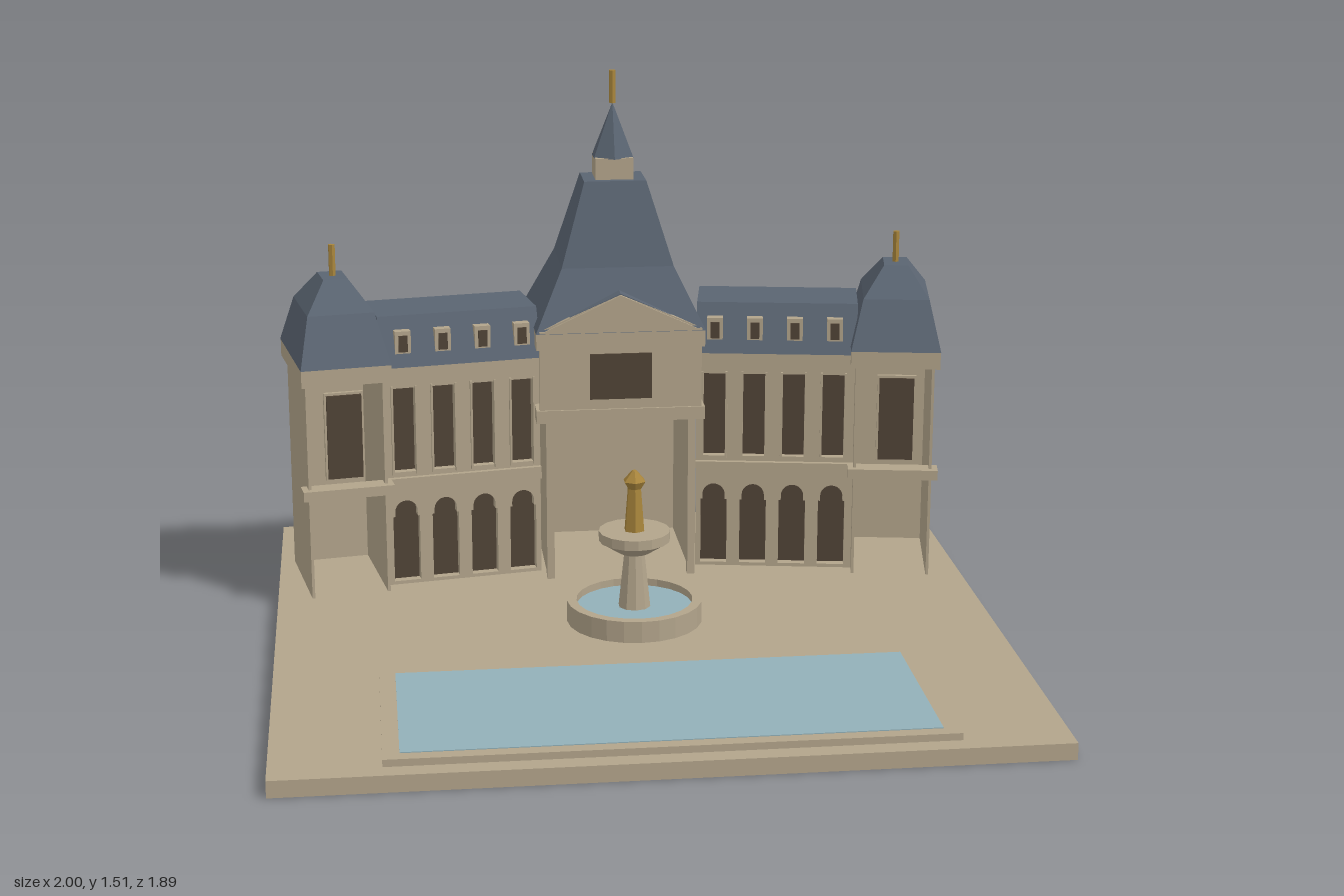
import * as THREE from 'three';

const mat = (name, color) => Object.assign(new THREE.MeshStandardMaterial({ color }), { name });

export function createModel() {
  const stone = mat('stone', 0xb2a48b);
  const slate = mat('slate', 0x5a6471);
  const glass = mat('darkGlass', 0x504336);
  const gold = mat('gold', 0xa8853c);
  const water = mat('water', 0x92b0b8);

  const model = new THREE.Group();
  model.name = 'palace';

  // Adds a mesh with faceted normals
  function add(parent, name, geometry, material, x = 0, y = 0, z = 0) {
    const g = geometry.index ? geometry.toNonIndexed() : geometry;
    g.computeVertexNormals();
    const mesh = new THREE.Mesh(g, material);
    mesh.name = name;
    mesh.position.set(x, y, z);
    parent.add(mesh);
    return mesh;
  }
  // Box given by its width, bottom, top, depth and centre
  const box = (parent, name, material, w, y0, y1, d, x = 0, z = 0) =>
    add(parent, name, new THREE.BoxGeometry(w, y1 - y0, d), material, x, (y0 + y1) / 2, z);
  const drum = (parent, name, material, rTop, rBottom, y0, y1, sides, x = 0, z = 0) =>
    add(parent, name, new THREE.CylinderGeometry(rTop, rBottom, y1 - y0, sides), material, x, (y0 + y1) / 2, z);

  // Roof lofted through rectangular rings [y, width, depth]
  function roofGeometry(rings) {
    const pos = [], idx = [];
    for (const [y, w, d] of rings)
      for (const [sx, sz] of [[-1, 1], [1, 1], [1, -1], [-1, -1]]) pos.push(sx * w / 2, y, sz * d / 2);
    for (let r = 0; r < rings.length - 1; r++)
      for (let i = 0; i < 4; i++) {
        const a = r * 4 + i, b = r * 4 + (i + 1) % 4;
        idx.push(a, b, b + 4, a, b + 4, a + 4);
      }
    const t = (rings.length - 1) * 4;
    idx.push(t, t + 1, t + 2, t, t + 2, t + 3, 0, 2, 1, 0, 3, 2);
    const g = new THREE.BufferGeometry();
    g.setAttribute('position', new THREE.Float32BufferAttribute(pos, 3));
    g.setIndex(idx);
    return g;
  }

  // Hollow block with an open front
  function shell(parent, name, w, y0, y1, zFront, zBack) {
    const t = 0.008, d = zFront - zBack, zc = (zFront + zBack) / 2;
    for (const s of [-1, 1]) box(parent, name + 'Side', stone, t, y0, y1, d, s * (w - t) / 2, zc);
    box(parent, name + 'Back', stone, w - 2 * t, y0, y1, t, 0, zBack + t / 2);
    box(parent, name + 'Ceiling', stone, w - 2 * t, y1 - t, y1, d - t, 0, zc + t / 2);
  }

  const polygon = points => new THREE.Shape(points.map(p => new THREE.Vector2(...p)));

  // Hole with a flat head, or an arch set on small shoulders
  function opening(x, w, y0, y1, arched) {
    const p = new THREE.Path(), r = w / 2, a = r - 0.006;
    const spring = arched ? y1 - a : y1;
    p.moveTo(x - r, y0);
    p.lineTo(x + r, y0);
    p.lineTo(x + r, spring - (arched ? 0.015 : 0));
    if (arched) {
      p.lineTo(x + a, spring - 0.015);
      p.absarc(x, spring, a, 0, Math.PI, false);
      p.lineTo(x - a, spring - 0.015);
    }
    p.lineTo(x - r, spring - (arched ? 0.015 : 0));
    p.lineTo(x - r, y0);
    return p;
  }

  // Terrace and long pool
  box(model, 'terrace', stone, 2, 0, 0.045, 1.89);
  box(model, 'poolRim', stone, 1.44, 0.045, 0.064, 0.58, 0, 0.605);
  box(model, 'poolWater', water, 1.355, 0.06, 0.0665, 0.51, 0, 0.605);

  // Fountain
  const fountain = new THREE.Group();
  fountain.name = 'fountain';
  fountain.position.set(0, 0, -0.035);
  model.add(fountain);
  const rim = [[0.19, 0.045], [0.19, 0.106], [0.163, 0.106], [0.163, 0.06]];
  add(fountain, 'basin', new THREE.LatheGeometry(rim.map(p => new THREE.Vector2(...p)), 24), stone);
  drum(fountain, 'basinWater', water, 0.164, 0.164, 0.075, 0.085, 24);
  drum(fountain, 'pedestal', stone, 0.028, 0.046, 0.08, 0.25, 10);
  drum(fountain, 'bowlUnderside', stone, 0.098, 0.045, 0.245, 0.28, 16);
  drum(fountain, 'bowlRim', stone, 0.1, 0.1, 0.28, 0.308, 16);
  drum(fountain, 'statueBody', gold, 0.02, 0.03, 0.308, 0.43, 6);
  drum(fountain, 'statueShoulder', gold, 0.033, 0.02, 0.43, 0.452, 6);
  drum(fountain, 'statueTip', gold, 0.006, 0.033, 0.452, 0.482, 6);

  // Central pavilion
  const centre = new THREE.Group();
  centre.name = 'centralPavilion';
  model.add(centre);
  shell(centre, 'pavilionWall', 0.43, 0.045, 0.695, -0.4, -0.81);
  for (const s of [-1, 1]) {
    box(centre, 'portalPier', stone, 0.022, 0.045, 0.53, 0.03, s * 0.207, -0.398);
    box(centre, 'sideLedge', stone, 0.03, 0.522, 0.56, 0.42, s * 0.23, -0.6);
  }
  box(centre, 'portalLintel', stone, 0.49, 0.522, 0.56, 0.04, 0, -0.397);
  box(centre, 'atticBlock', stone, 0.4, 0.69, 0.745, 0.26, 0, -0.54);
  box(centre, 'cornice', stone, 0.488, 0.74, 0.79, 0.444, 0, -0.6);
  add(centre, 'pavilionRoof', roofGeometry([[0.788, 0.49, 0.447], [0.96, 0.325, 0.275], [1.2, 0.18, 0.145]]),
    slate, 0, 0, -0.6);

  // Gable front with its small roof behind
  const gable = polygon([[-0.235, 0.555], [0.235, 0.555], [0.235, 0.795], [0, 0.897], [-0.235, 0.795]]);
  add(centre, 'gableFront', new THREE.ExtrudeGeometry(gable, { depth: 0.02, bevelEnabled: false }), stone, 0, 0, -0.403);
  box(centre, 'frieze', stone, 0.47, 0.74, 0.795, 0.02, 0, -0.387);
  const cap = polygon([[-0.242, 0.79], [0.242, 0.79], [0, 0.9]]);
  add(centre, 'gableRoof', new THREE.ExtrudeGeometry(cap, { depth: 0.1, bevelEnabled: false }), slate, 0, 0, -0.487);
  const tympanum = polygon([[-0.235, 0.788], [0.235, 0.788], [0, 0.897]]);
  add(centre, 'tympanum', new THREE.ExtrudeGeometry(tympanum, { depth: 0.012, bevelEnabled: false }), stone, 0, 0, -0.389);
  box(centre, 'gableWindow', glass, 0.18, 0.59, 0.725, 0.006, 0, -0.381);

  // Lantern, spire and finial
  box(centre, 'lantern', stone, 0.11, 1.2, 1.262, 0.11, 0, -0.605);
  drum(centre, 'spire', slate, 0.002, 0.066, 1.26, 1.412, 6, 0, -0.605);
  drum(centre, 'finial', gold, 0.01, 0.01, 1.415, 1.51, 6, 0, -0.605);

  const bays = [-0.18, -0.064, 0.052, 0.168];
  for (const s of [-1, 1]) {
    const side = s > 0 ? 'left' : 'right';

    // Angled wing, its facade lying on local z = 0
    const wing = new THREE.Group();
    wing.name = side + 'Wing';
    wing.position.set(s * 0.46, 0, -0.42);
    wing.rotation.y = -s * 0.17;
    model.add(wing);
    const L = 0.467;
    box(wing, 'wingBody', stone, L, 0.045, 0.705, 0.255, 0, -0.1595);
    const facade = polygon([[-L / 2, 0.045], [L / 2, 0.045], [L / 2, 0.705], [-L / 2, 0.705]]);
    for (const bay of bays) {
      const x = s * bay;
      facade.holes.push(opening(x, 0.078, 0.055, 0.3, true), opening(x, 0.064, 0.387, 0.638, false));
      box(wing, 'archGlass', glass, 0.084, 0.05, 0.305, 0.006, x, -0.028);
      box(wing, 'windowGlass', glass, 0.07, 0.38, 0.645, 0.006, x, -0.026);
      box(wing, 'dormer', stone, 0.046, 0.738, 0.808, 0.06, x, -0.018);
      box(wing, 'dormerGlass', glass, 0.026, 0.748, 0.796, 0.006, x, 0.013);
      for (const e of [-1, 1]) box(wing, 'windowFrame', stone, 0.006, 0.38, 0.645, 0.012, x + e * 0.035, 0.002);
    }
    add(wing, 'wingFacade', new THREE.ExtrudeGeometry(facade, { depth: 0.03, bevelEnabled: false, curveSegments: 6 }),
      stone, 0, 0, -0.03);
    box(wing, 'stringCourse', stone, L, 0.335, 0.372, 0.02, 0, 0.005);
    box(wing, 'eaves', stone, L, 0.68, 0.708, 0.03, 0, 0.01);
    add(wing, 'wingRoof', roofGeometry([[0.706, L, 0.32], [0.845, L, 0.2]]), slate, 0, 0, -0.132);

    // Corner tower in line with the wing's back: open front, balcony and bell-shaped roof
    const tower = new THREE.Group();
    tower.name = side + 'Tower';
    tower.position.set(s * 0.343, 0, -0.115);
    wing.add(tower);
    shell(tower, 'towerWall', 0.228, 0.045, 0.69, 0.163, -0.172);
    box(tower, 'balcony', stone, 0.262, 0.343, 0.372, 0.058, 0, 0.154);
    box(tower, 'towerWindowFrame', stone, 0.112, 0.394, 0.652, 0.012, s * 0.006, 0.156);
    box(tower, 'towerWindow', glass, 0.1, 0.4, 0.645, 0.006, s * 0.006, 0.165);
    box(tower, 'towerCornice', stone, 0.256, 0.68, 0.732, 0.384);
    add(tower, 'towerRoof', roofGeometry([[0.73, 0.258, 0.388], [0.87, 0.19, 0.255], [0.955, 0.07, 0.11]]), slate);
    drum(tower, 'towerFinial', gold, 0.01, 0.01, 0.95, 1.045, 6);
  }
  return model;
}
